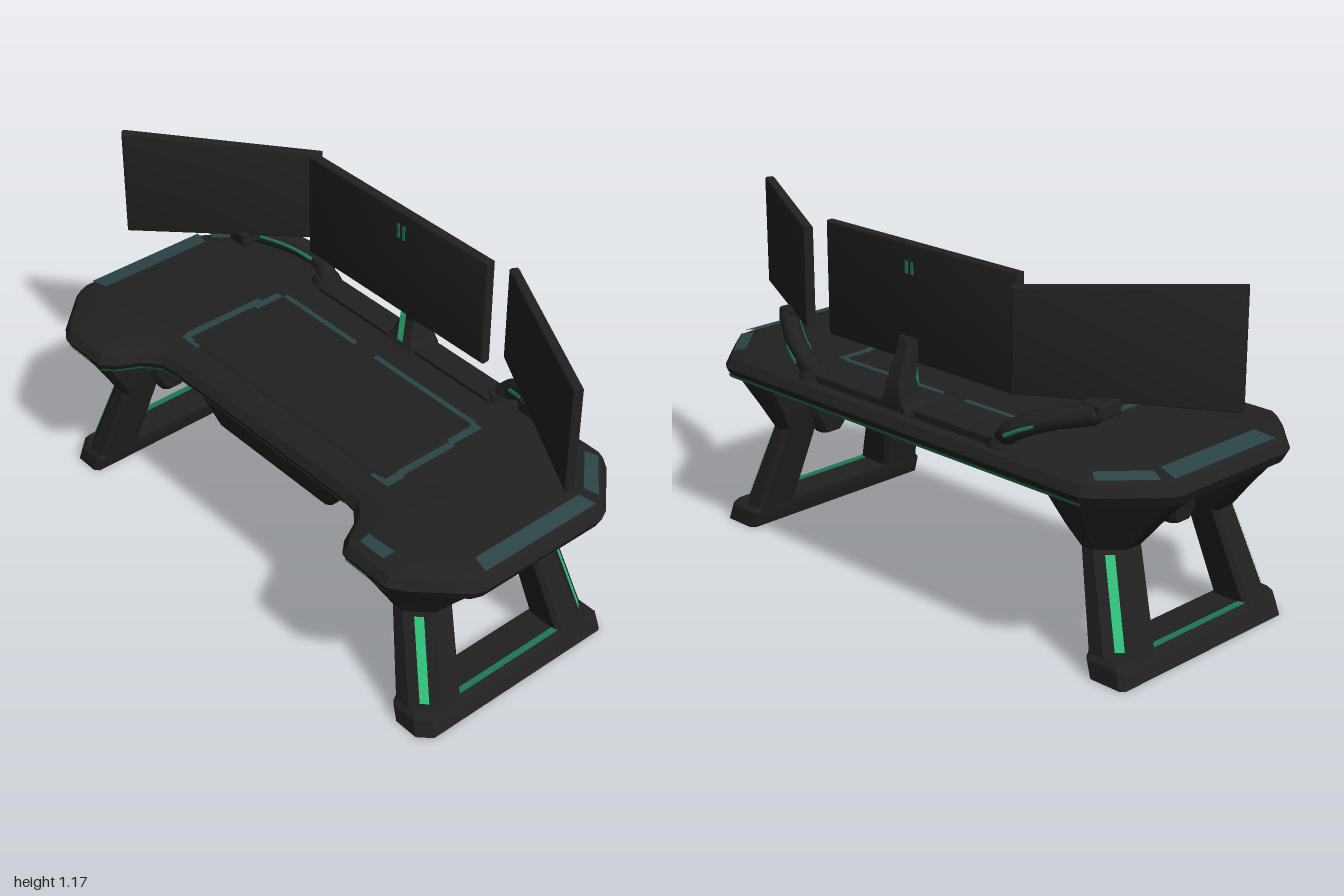
import * as THREE from 'three';
import { toCreasedNormals } from 'three/addons/utils/BufferGeometryUtils.js';
import { RoundedBoxGeometry } from 'three/addons/geometries/RoundedBoxGeometry.js';

const mat = (name, color) => Object.assign(new THREE.MeshStandardMaterial({ color }), { name });
const V = (x, y, z) => new THREE.Vector3(x, y, z);

export function createModel() {
  const body = mat('charcoal body', 0x212121);
  const teal = mat('muted teal accent', 0x2b4446);
  const green = mat('bright green light', 0x32c77e);
  const dim = mat('dim green light', 0x1f7659);
  for (const m of [teal, green, dim]) m.side = THREE.DoubleSide;

  const model = new THREE.Group();
  model.name = 'desk';
  const add = (name, geo, material, parent = model) => {
    const mesh = new THREE.Mesh(geo, material);
    mesh.name = name;
    parent.add(mesh);
    return mesh;
  };
  const box = (name, x0, x1, y0, y1, z0, z1, material = body) => {
    const mesh = add(name, new THREE.BoxGeometry(x1 - x0, y1 - y0, z1 - z0), material);
    mesh.position.set((x0 + x1) / 2, (y0 + y1) / 2, (z0 + z1) / 2);
  };
  const fromTriangles = (pts) => new THREE.BufferGeometry().setFromPoints(pts);

  // Closed solid through horizontal rings, listed from bottom to top
  const loft = (rings) => {
    const flat = (r) => r.map((p) => new THREE.Vector2(p.x, -p.z));
    if (THREE.ShapeUtils.area(flat(rings[0])) < 0) rings = rings.map((r) => [...r].reverse());
    const tris = [], n = rings[0].length;
    for (let k = 0; k < rings.length - 1; k++) {
      for (let i = 0; i < n; i++) {
        const j = (i + 1) % n, lo = rings[k], hi = rings[k + 1];
        tris.push(lo[i], lo[j], hi[j], lo[i], hi[j], hi[i]);
      }
    }
    const top = rings[rings.length - 1], bottom = rings[0];
    for (const [a, b, c] of THREE.ShapeUtils.triangulateShape(flat(top), [])) tris.push(top[a], top[b], top[c]);
    for (const [a, b, c] of THREE.ShapeUtils.triangulateShape(flat(bottom), [])) tris.push(bottom[a], bottom[c], bottom[b]);
    return toCreasedNormals(fromTriangles(tris), 0.4);
  };

  // Chamfered rectangle ring; c is the chamfer of the outer (x1, z1) corner
  const rectRing = ([y, x0, x1, z0, z1, c = 0.015], sx = 1, sz = 1, s = 0.015) => [
    [x0 + s, z1], [x1 - c, z1], [x1, z1 - c], [x1, z0 + s],
    [x1 - s, z0], [x0 + s, z0], [x0, z0 + s], [x0, z1 - s],
  ].map(([x, z]) => V(x * sx, y, z * sz));

  // Tabletop outline, mirrored across x
  const half = [[0.41, 0.285], [0.48, 0.295], [0.53, 0.335], [0.57, 0.41], [0.61, 0.452], [0.8, 0.452],
    [0.85, 0.42], [0.985, 0.28], [1, 0.24], [1, -0.24], [0.98, -0.28], [0.84, -0.43], [0.8, -0.457]];
  const outline = [...half, ...[...half].reverse().map(([x, z]) => [-x, z])];
  const inset = (d, y) => outline.map(([x, z], i) => {
    const n = outline.length, p = outline[(i + n - 1) % n], q = outline[(i + 1) % n];
    const a = new THREE.Vector2(z - p[1], p[0] - x).normalize();
    const b = new THREE.Vector2(q[1] - z, x - q[0]).normalize();
    const k = d / (1 + a.dot(b));
    return V(x + (a.x + b.x) * k, y, z + (a.y + b.y) * k);
  });
  add('tabletop', loft([inset(0.05, 0.55), inset(0.018, 0.563), inset(0, 0.598),
    inset(0.018, 0.628), inset(0.05, 0.643), inset(0.1, 0.65)]), body);

  // Light line around the lower front and rear edges
  const lowA = inset(0.016, 0.564), lowB = inset(0.008, 0.578), lineTris = [];
  outline.forEach(([x], i) => {
    const j = (i + 1) % outline.length;
    if (Math.abs(x) > 0.82 || Math.abs(outline[j][0]) > 0.82) return;
    lineTris.push(lowA[i], lowA[j], lowB[j], lowA[i], lowB[j], lowB[i]);
  });
  const lineGeo = fromTriangles(lineTris);
  lineGeo.computeVertexNormals();
  add('edgeLight', lineGeo.scale(1.003, 1, 1.006), dim);

  // Four-cornered painted patch
  const patch = (name, corners, material) => {
    const [a, b, c, d] = corners;
    const geo = fromTriangles([a, b, c, a, c, d]);
    geo.computeVertexNormals();
    return add(name, geo, material);
  };
  for (const s of [1, -1]) {
    const w = s > 0 ? 0.918 : 0.9;
    const side = [V(s * 0.972, 0.643, 0.22), V(s * 0.972, 0.643, -0.24), V(s * w, 0.654, -0.22), V(s * w, 0.654, 0.21)];
    const rear = [V(s * 0.95, 0.643, -0.275), V(s * 0.82, 0.643, -0.41), V(s * 0.785, 0.654, -0.385), V(s * 0.905, 0.654, -0.255)];
    patch('sideAccent', s > 0 ? side : side.reverse(), teal);
    patch('rearCornerAccent', s > 0 ? rear : rear.reverse(), teal);
  }
  patch('frontCornerAccent', [V(0.64, 0.646, 0.41), V(0.74, 0.646, 0.41), V(0.75, 0.654, 0.37), V(0.64, 0.654, 0.375)], teal);

  // Desk mat with accent strips round it
  add('deskMat', new RoundedBoxGeometry(0.93, 0.008, 0.39, 2, 0.004), body).position.set(0.005, 0.65, -0.015);
  for (const [x0, x1, z0, z1] of [[-0.508, -0.482, -0.14, 0.17], [-0.49, -0.464, -0.21, -0.1], [-0.5, -0.42, 0.17, 0.192],
    [-0.46, -0.1, -0.231, -0.212], [0, 0.46, -0.231, -0.212], [0.46, 0.495, -0.225, -0.1], [0.48, 0.505, -0.1, 0.12],
    [0.485, 0.515, 0.12, 0.19], [0.44, 0.485, 0.172, 0.192]]) {
    box('matAccent', x0, x1, 0.647, 0.6535, z0, z1, teal);
  }

  // Underframe and cable tray
  add('crossBeam', loft([[0.45, -0.64, 0.64, -0.17, 0.06], [0.56, -0.66, 0.66, -0.24, 0.12]].map((r) => rectRing(r))), body);
  add('underTray', loft([[0.42, -0.25, 0.25, -0.12, 0.2], [0.435, -0.28, 0.28, -0.14, 0.22],
    [0.555, -0.36, 0.36, -0.17, 0.25]].map((r) => rectRing(r))), body);

  // Leg frames: foot bar, two bent legs, brackets and lights on each side
  for (const sx of [1, -1]) {
    const frame = new THREE.Group();
    frame.name = sx > 0 ? 'leftLegFrame' : 'rightLegFrame';
    model.add(frame);
    add('footBar', loft([[0, 0.782, 0.925, -0.39, 0.39, 0.04], [0.055, 0.762, 0.908, -0.385, 0.385, 0.04],
      [0.073, 0.76, 0.895, -0.37, 0.37, 0.04]].map((r) => rectRing(r, sx))), body, frame);
    const line = add('footLight', new THREE.BoxGeometry(0.02, 0.009, 0.54), dim, frame);
    line.position.set(sx * 0.88, 0.073, 0);
    for (const sz of [1, -1]) {
      add('leg', loft([[0.04, 0.768, 0.912, 0.215, 0.378, 0.07], [0.37, 0.672, 0.8, 0.165, 0.315, 0.07],
        [0.45, 0.645, 0.865, 0.15, 0.36, 0.12], [0.56, 0.63, 0.96, 0.12, 0.425, 0.19]].map((r) => rectRing(r, sx, sz))), body, frame);
      add('bracket', loft([[0.325, 0.652, 0.71, 0.08, 0.165], [0.35, 0.645, 0.715, 0.065, 0.18],
        [0.42, 0.635, 0.73, 0.05, 0.22], [0.56, 0.62, 0.8, 0.04, 0.24]].map((r) => rectRing(r, sx, sz))), body, frame);
      // Light strip on the chamfered outer corner
      const at = (y, t) => {
        const k = (y - 0.04) / 0.33;
        return V(sx * (0.845 - 0.112 * k + 0.07 * t), y, sz * (0.381 - 0.063 * k - 0.07 * t));
      };
      const corners = [at(0.09, 0.35), at(0.09, 0.65), at(0.358, 0.65), at(0.358, 0.35)];
      frame.add(patch('legLight', sx * sz > 0 ? corners : corners.reverse(), green));
    }
  }

  // Monitor panel between two plan points; yL and yR are [bottom, top] at each end
  const panel = (name, [xa, za], [xb, zb], yL, yR, depth) => {
    const len = Math.hypot(xb - xa, zb - za), b = 0.008;
    const shape = new THREE.Shape([[b, yL[0] + b], [len - b, yR[0] + b], [len - b, yR[1] - b], [b, yL[1] - b]]
      .map(([x, y]) => new THREE.Vector2(x, y)));
    const geo = new THREE.ExtrudeGeometry(shape, { depth: depth - 2 * b, bevelSize: b, bevelThickness: b, bevelSegments: 2 });
    geo.translate(0, 0, b - depth / 2);
    const mesh = add(name, toCreasedNormals(geo, 0.5), body);
    mesh.position.set(xa, 0, za);
    mesh.rotation.y = Math.atan2(za - zb, xb - xa);
  };
  panel('centreMonitor', [-0.455, -0.34], [0.385, -0.34], [0.79, 1.167], [0.79, 1.167], 0.036);
  panel('leftMonitor', [0.428, -0.395], [0.992, -0.09], [0.81, 1.145], [0.785, 1.158], 0.034);
  panel('rightMonitor', [-0.99, 0.042], [-0.472, -0.395], [0.775, 1.16], [0.815, 1.143], 0.034);
  for (const x of [-0.012, 0.012]) box('frontIndicator', x - 0.006, x + 0.006, 1.07, 1.12, -0.323, -0.319, dim);
  for (const x of [-0.012, 0.012]) box('rearIndicator', x - 0.006, x + 0.006, 1.07, 1.11, -0.361, -0.357, dim);

  // Stand of the centre monitor on its base rail
  box('baseRail', -0.41, 0.41, 0.64, 0.663, -0.42, -0.33);
  add('centreStand', loft([[0.65, -0.08, 0.08, -0.44, -0.32], [0.68, -0.055, 0.055, -0.44, -0.34],
    [0.74, -0.04, 0.04, -0.435, -0.36], [0.8, -0.036, 0.036, -0.41, -0.345],
    [0.87, -0.034, 0.034, -0.385, -0.335]].map((r) => rectRing(r))), body);
  patch('standLight', [V(-0.013, 0.668, -0.328), V(0.013, 0.668, -0.328), V(0.013, 0.795, -0.344), V(-0.013, 0.795, -0.344)], green);

  // Curved arms carrying the side monitors
  const arm = (name, points, mountZ) => {
    const path = new THREE.CatmullRomCurve3(points.map((p) => V(...p)));
    add(name, new THREE.TubeGeometry(path, 20, 0.034, 8), body);
    const end = path.getPoint(1);
    add(name + 'End', new THREE.SphereGeometry(0.034, 12, 8), body).position.copy(end);
    const base = add(name + 'Base', new THREE.CylinderGeometry(0.042, 0.055, 0.03, 16), body);
    base.position.set(points[0][0], 0.657, points[0][2]);
    const mount = add(name + 'Mount', new RoundedBoxGeometry(0.08, 0.05, Math.abs(mountZ - end.z) + 0.03, 2, 0.01), body);
    mount.position.set(end.x, end.y + 0.012, (mountZ + end.z) / 2);
    // Light lines along the front and the rear underside of the arm
    for (const s of [1, -1]) {
      const stops = s > 0 ? [0.4, 0.6, 0.8, 0.95] : [0.35, 0.5, 0.65];
      const line = new THREE.CatmullRomCurve3(stops.map((t) => path.getPoint(t).add(V(0, s > 0 ? 0.01 : -0.008, s * 0.033))));
      add(name + 'Light', new THREE.TubeGeometry(line, 12, 0.008, 6), dim);
    }
  };
  arm('leftArm', [[0.42, 0.66, -0.39], [0.46, 0.7, -0.4], [0.54, 0.735, -0.37], [0.64, 0.775, -0.31]], -0.28);
  arm('rightArm', [[-0.44, 0.66, -0.39], [-0.48, 0.7, -0.405], [-0.57, 0.745, -0.36], [-0.69, 0.775, -0.28]], -0.21);

  return model;
}
